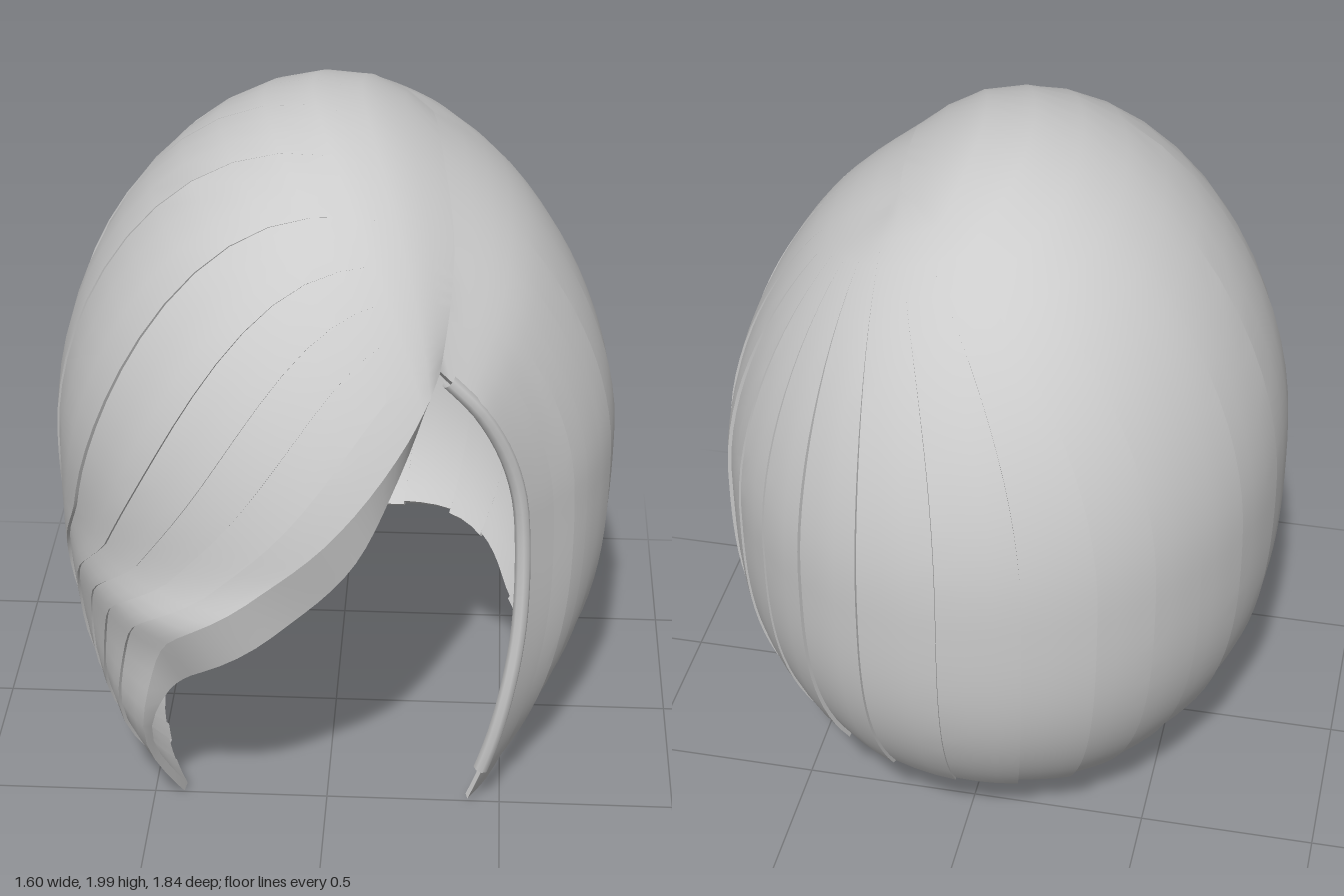
import * as THREE from 'three';
import { mergeVertices, toCreasedNormals } from 'three/addons/utils/BufferGeometryUtils.js';

const CENTRE = new THREE.Vector3(0, 1, 0);
const V = (p) => new THREE.Vector3(...p);
const curve = (pts) => new THREE.CatmullRomCurve3(pts.map(V));
const smooth = THREE.MathUtils.smoothstep;
const lerp = THREE.MathUtils.lerp;
const bump = (t, at, width) => Math.exp(-(((t - at) / width) ** 2));

// Parting line, from the forehead back to the crown
const parting = curve([[0.31, 1.5, 0.68], [0.35, 1.75, 0.45], [0.31, 1.9, 0.12], [0.28, 1.94, -0.22]]);
// Edges of the face opening, from the parting down to the tips
const sideEdge = curve([[0.31, 1.5, 0.68], [0.44, 1.34, 0.64], [0.52, 1.17, 0.6], [0.56, 1, 0.58],
  [0.56, 0.68, 0.57], [0.5, 0.36, 0.56], [0.41, 0.02, 0.52]]);
const fringeEdge = curve([[0.31, 1.5, 0.68], [0.21, 1.33, 0.78], [0.03, 1.11, 0.88], [-0.18, 0.92, 0.88],
  [-0.4, 0.73, 0.78], [-0.46, 0.45, 0.66], [-0.42, 0, 0.5]]);
const fringeFold = curve([[0.31, 1.5, 0.68], [0.2, 1.24, 0.8], [0.08, 1.0, 0.88], [-0.12, 0.8, 0.88],
  [-0.35, 0.62, 0.78], [-0.45, 0.42, 0.66], [-0.42, 0, 0.5]]);

// Ring size at a height; f is 1 at the front, c is 1 at the left
function ring(y, f, c) {
  const h = y - 1;
  if (h >= 0) {
    const power = 1.98 - 0.15 * c * c - 0.09 * c;
    return Math.pow(Math.max(0, 1 - Math.pow(Math.min(h, 1), power)), 1 / power);
  }
  return 1 - (0.55 - 0.4 * Math.max(0, f)) * Math.pow(-h, 3);
}

// Push a point along its ray from the centre onto the head form
function project(p) {
  const d = p.clone().sub(CENTRE).normalize();
  const r = Math.max(Math.hypot(d.x / 0.8, d.z / 0.92), 1e-6);
  const f = d.z / 0.92 / r, c = d.x / 0.8 / r;
  let lo = 0, hi = 1.6;
  for (let i = 0; i < 30; i++) {
    const s = (lo + hi) / 2;
    if (s * r < ring(1 + s * d.y, f, c) && s * d.y < 1) lo = s; else hi = s;
  }
  return d.multiplyScalar(lo).add(CENTRE);
}

// Plain strand path: a curve from parting to equator, then down to the hem
function strandPath(u, t, jitter) {
  const phi = THREE.MathUtils.degToRad(lerp(47, -226, u));
  const c = Math.cos(phi), f = Math.sin(phi);
  if (t >= 0.5) {
    const rise = f > 0 ? -0.2 * f : 0.1 * smooth(-f, 0.4, 0.9) - 0.06 * c * f;
    const y = lerp(1, 0.165 + 0.025 * c + rise + jitter, (t - 0.5) * 2), w = ring(y, f, c);
    return new THREE.Vector3(0.8 * c * w, y, 0.92 * f * w);
  }
  const s = u < 0.22 ? u / 0.22 : u > 0.62 ? (1 - u) / 0.38 : 1;
  const a = project(parting.getPoint(s)).sub(CENTRE).normalize();
  const b = new THREE.Vector3(0.8 * c, 0, 0.92 * f).normalize();
  const shoulder = b.clone().setY(0.7 * a.y);
  return project(new THREE.QuadraticBezierCurve3(a, shoulder, b).getPoint(2 * t).add(CENTRE));
}

// Strand path bent towards the opening edges
function hairPoint(u, t, { fringe, scale, lift = 0, jitter, groove = 0 }) {
  const p = strandPath(u, t, jitter);
  const bend = (edge, end, k) => {
    if (k > 0) p.add(project(edge.getPoint(t)).sub(strandPath(end, t, 0)).multiplyScalar(k));
  };
  bend(sideEdge, 0, 1 - smooth(u, 0, 0.2));
  bend(fringe, 1, smooth(u, 0.66, 1));
  // Side lock sits back, fringe swells forward, parting dips
  const dent = 0.08 * Math.sin(Math.PI * t) * bump(u, 0, 0.08);
  const swell = (0.045 * bump(t, 0.6, 0.1) + 0.04 * bump(t, 0.85, 0.08)) * smooth(u, 0.85, 1);
  const dip = groove * (1 - smooth(t, 0, lerp(0.15, 0.06, smooth(u, 0.15, 0.5))));
  const k = scale * (1 - dent + swell - dip + lift * smooth(t, 0.08, 0.4));
  return project(p).sub(CENTRE).multiplyScalar(k).add(CENTRE);
}

// Surface through a list of equally long point columns
function loft(columns, crease) {
  const n = columns[0].length, index = [];
  for (let i = 0; i < columns.length - 1; i++) {
    for (let j = 0; j < n - 1; j++) {
      const a = i * n + j, b = a + n;
      index.push(a, a + 1, b, b, a + 1, b + 1);
    }
  }
  const geo = new THREE.BufferGeometry().setFromPoints(columns.flat());
  geo.setIndex(index);
  return toCreasedNormals(mergeVertices(geo, 1e-4), crease);
}

export function createModel() {
  const group = new THREE.Group();
  const material = new THREE.MeshStandardMaterial({ color: 0xcccccc, side: THREE.DoubleSide });
  const add = (name, geo) => {
    const mesh = new THREE.Mesh(geo, material);
    mesh.name = name;
    group.add(mesh);
  };

  // Overlapping strands, finer near the face: each rises across its width, then steps down
  const STRANDS = 26, ACROSS = 3, ROWS = 32;
  const outer = [], inner = [];
  for (let i = 0; i < STRANDS; i++) {
    for (let j = 0; j <= ACROSS; j++) {
      const x = (i + j / ACROSS) / STRANDS;
      const u = x - 0.06 * Math.sin(2 * Math.PI * x) + 0.008 * Math.sin(8 * Math.PI * x);
      const lift = (0.009 + 0.006 * Math.sin(i * 1.9)) * (j / ACROSS - 0.5);
      const jitter = 0.006 * Math.sin(i * 2.4);
      const out = [], inn = [];
      for (let r = 0; r <= ROWS; r++) {
        const t = r / ROWS;
        const scale = lerp(0.955, 0.982, smooth(t, 0.5, 1));
        out.push(hairPoint(u, t, { fringe: fringeEdge, scale: 1, lift, jitter, groove: 0.024 }));
        inn.push(hairPoint(u, t, { fringe: fringeFold, scale, jitter }));
      }
      outer.push(out);
      inner.push(inn);
    }
  }
  const last = outer.length - 1;
  add('hairStrands', loft(outer, 0.5));
  add('innerLining', loft(inner, 0.7));

  // Folded borders joining the strands to the lining
  add('fringeFold', loft([outer[last], inner[last]], 0.7));
  add('sideLockBorder', loft([inner[0], outer[0]], 0.7));
  add('hemBorder', loft([outer.map((c) => c[ROWS]), inner.map((c) => c[ROWS])], 0.7));

  // Rounded roll along the side lock's front edge
  const rollPath = outer[0].slice(1, ROWS - 1).map((p, j) => p.clone().lerp(inner[0][j + 1], 0.5));
  add('sideLockRoll', new THREE.TubeGeometry(new THREE.CatmullRomCurve3(rollPath), 30, 0.022, 8));

  return group;
}
